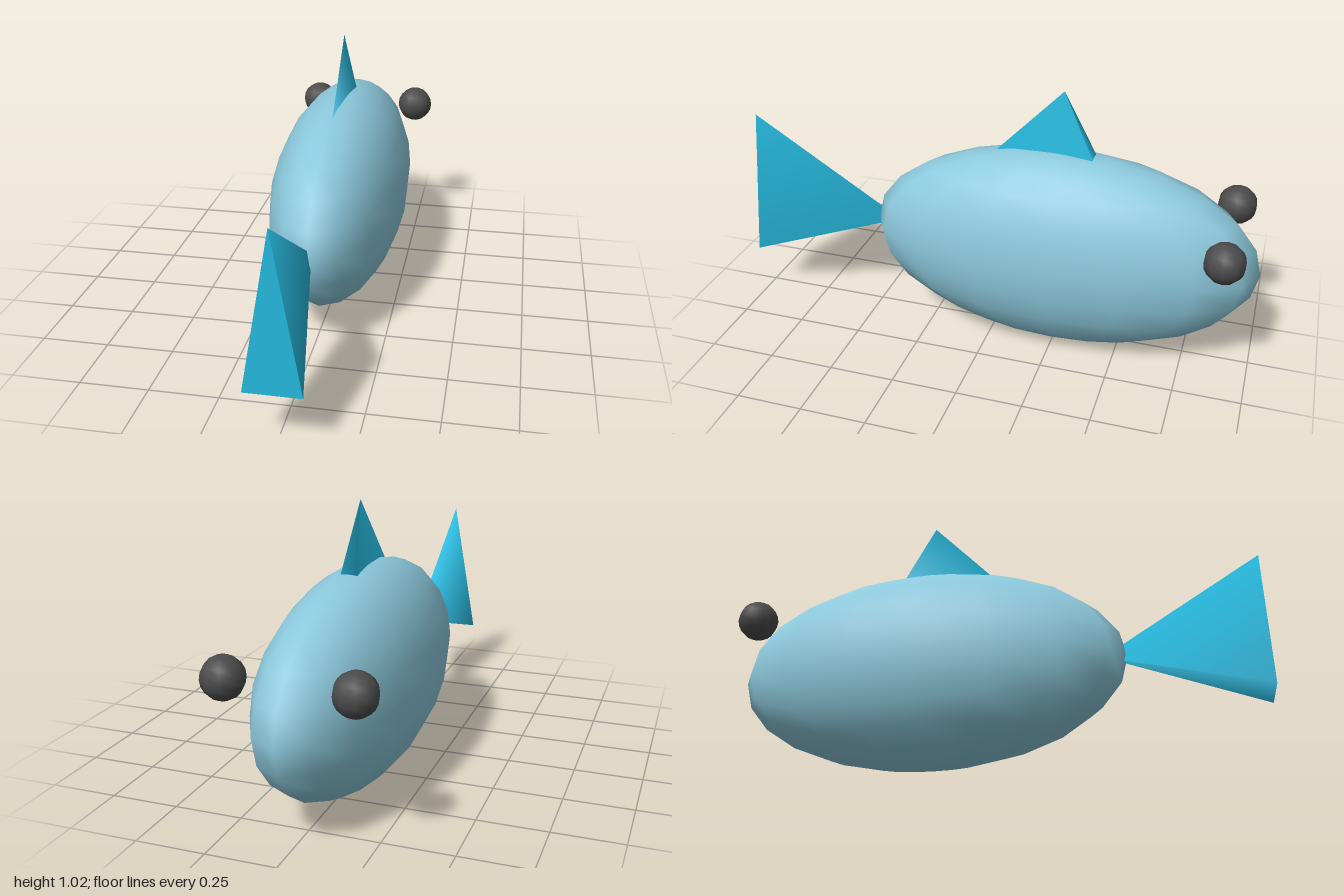
import * as THREE from 'three';

const paint = (name, color) => {
  const m = new THREE.MeshStandardMaterial({ color });
  m.name = name;
  return m;
};

export function createModel() {
  const fish = new THREE.Group();
  fish.name = 'fish';
  const skin = paint('paleBlueSkin', 0x8cc8dc);
  const finBlue = paint('brightBlueFin', 0x26b9de);
  const eyeGrey = paint('darkGreyEye', 0x4b4b4b);

  const add = (name, geometry, material, x, y, z) => {
    const mesh = new THREE.Mesh(geometry, material);
    mesh.name = name;
    mesh.position.set(x, y, z);
    fish.add(mesh);
    return mesh;
  };

  // Body: a tall, narrow ellipsoid
  add('body', new THREE.SphereGeometry(1, 16, 12), skin, 0, 0.395, -0.255)
    .scale.set(0.261, 0.392, 0.745);

  // Tail: three-sided cone, apex buried in the body, flat base at the end
  const tail = new THREE.ConeGeometry(0.373, 0.6, 3).rotateX(-Math.PI / 2);
  add('tailFin', tail, finBlue, 0, 0.397, 0.7).scale.x = 0.3;

  // Top fin: flattened three-sided cone
  add('topFin', new THREE.ConeGeometry(0.29, 0.3, 3), finBlue, 0, 0.87, -0.252)
    .scale.x = 0.15;

  // Eyes: a mirrored pair
  const eye = new THREE.SphereGeometry(0.074, 10, 10);
  for (const side of [1, -1]) {
    add(side > 0 ? 'leftEye' : 'rightEye', eye, eyeGrey, side * 0.22, 0.556, -0.88);
  }
  return fish;
}
